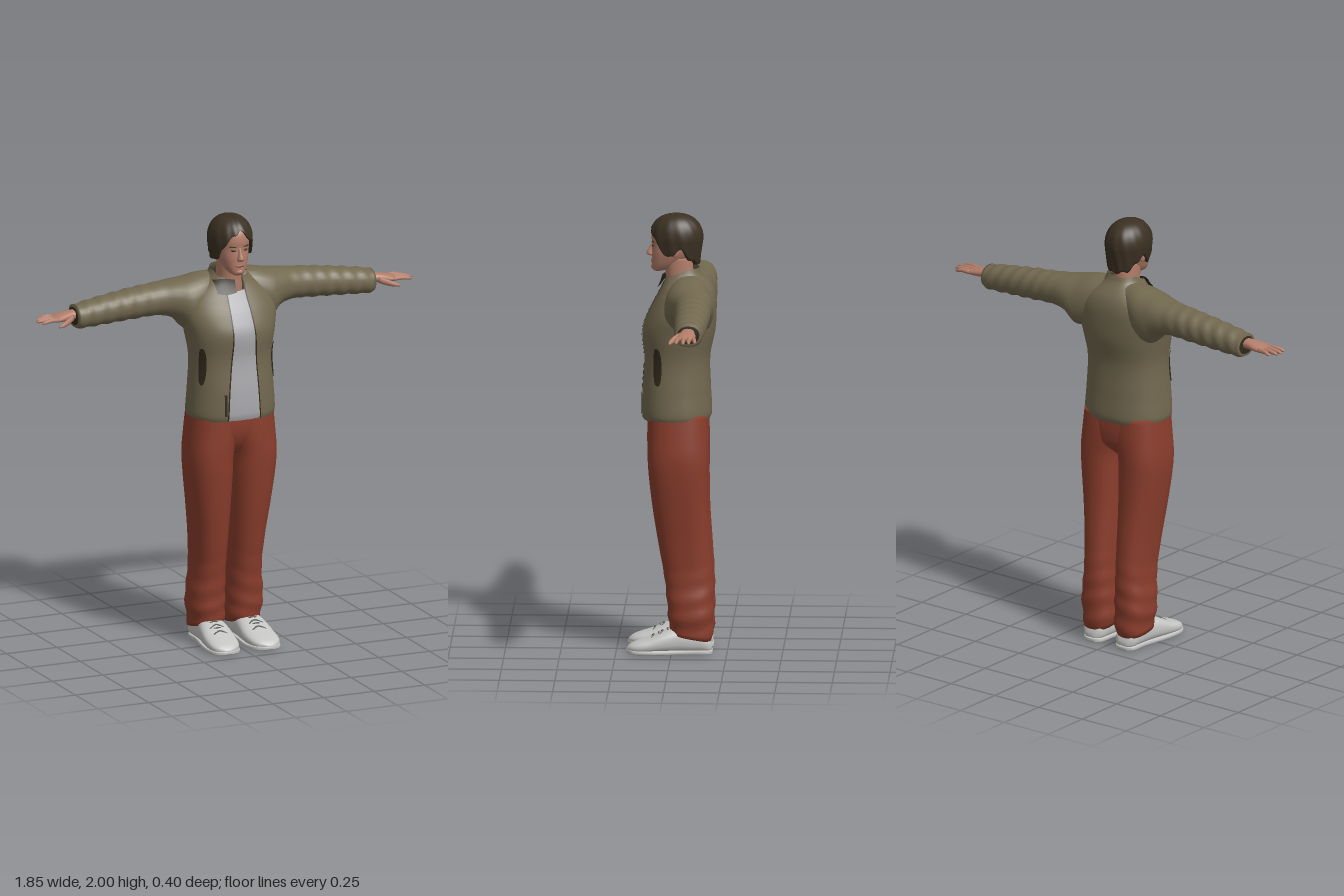
import * as THREE from 'three';

const mat = (name, color) => Object.assign(new THREE.MeshStandardMaterial({ color }), { name });
const { PI, sin, cos, abs, sign, pow, sqrt, asin, min, max } = Math;

// Smooth lookup in a table whose first column is an ascending key
function sample(table, k) {
  const n = table.length;
  let i = 0;
  while (i < n - 2 && k > table[i + 1][0]) i++;
  const a = table[i], b = table[i + 1], h = b[0] - a[0];
  const t = min(1, max(0, (k - a[0]) / h));
  const slope = (j, c) => {
    const p = table[max(0, j - 1)], q = table[min(n - 1, j + 1)];
    return (q[c] - p[c]) / (q[0] - p[0]);
  };
  const out = [];
  for (let c = 1; c < a.length; c++) {
    out.push((2 * t ** 3 - 3 * t * t + 1) * a[c] + (t ** 3 - 2 * t * t + t) * h * slope(i, c)
      + (3 * t * t - 2 * t ** 3) * b[c] + (t ** 3 - t * t) * h * slope(i + 1, c));
  }
  return out;
}

// Grid surface from f(u, v); faces are turned to point away from its centre
function surface(f, nu, nv, closed = false) {
  const pos = [], idx = [], cols = closed ? nv : nv + 1;
  for (let i = 0; i <= nu; i++) for (let j = 0; j < cols; j++) pos.push(...f(i / nu, j / nv));
  for (let i = 0; i < nu; i++) for (let j = 0; j < nv; j++) {
    const a = i * cols + j, b = i * cols + (j + 1) % cols, c = a + cols, d = b + cols;
    idx.push(a, b, c, b, d, c);
  }
  const P = (i) => new THREE.Vector3().fromArray(pos, i * 3);
  const mid = new THREE.Vector3();
  for (let i = 0; i < pos.length / 3; i++) mid.addScaledVector(P(i), 3 / pos.length);
  let outward = 0;
  for (let i = 0; i < idx.length; i += 3) {
    const a = P(idx[i]), b = P(idx[i + 1]), c = P(idx[i + 2]);
    outward += a.clone().sub(mid).dot(b.sub(a).cross(c.sub(a)));
  }
  if (outward < 0) idx.reverse();
  const g = new THREE.BufferGeometry();
  g.setAttribute('position', new THREE.Float32BufferAttribute(pos, 3));
  g.setIndex(idx);
  g.computeVertexNormals();
  return g;
}

const bend = (v, p) => sign(v) * pow(abs(v), 2 / p);

// Capped loft along an axis; rows are [key, min1, max1, min2, max2]
function loft(axis, rows, { side = 1, p = 2.2, nu = 24, nv = 24, warp } = {}) {
  const k0 = rows[0][0], k1 = rows[rows.length - 1][0];
  return surface((u, v) => {
    const i = Math.round(u * (nu + 2)) - 1, t = min(1, max(0, i / nu));
    const k = k0 + (k1 - k0) * t, [a0, a1, b0, b1] = sample(rows, k);
    const r = i < 0 || i > nu ? 0 : 1, w = v * 2 * PI;
    const a = (a0 + a1) / 2 + r * (a1 - a0) / 2 * bend(cos(w), p);
    const b = (b0 + b1) / 2 + r * (b1 - b0) / 2 * bend(sin(w), p);
    const q = axis === 'x' ? [k, a, b] : axis === 'y' ? [a, k, b] : [a, b, k];
    if (warp) warp(q, t, w);
    q[0] *= side;
    return q;
  }, nu + 2, nv, true);
}

// Torso outline: height, half width, back z, front z
const torso = [
  [1.07, .195, -.172, .133], [1.09, .204, -.18, .14], [1.2, .197, -.175, .139], [1.35, .19, -.172, .128],
  [1.47, .208, -.195, .136], [1.55, .222, -.2, .108], [1.62, .205, -.198, .072], [1.67, .16, -.183, .047],
  [1.7, .115, -.16, .036], [1.725, .088, -.135, .032], [1.76, .078, -.12, .037]];
function body(y, a, off = 0) {
  const [w, b, f] = sample(torso, y);
  return [(w + off) * bend(sin(a), 2.3), y, (b + f) / 2 + ((f - b) / 2 + off) * bend(cos(a), 2.3)];
}
const angleAt = (y, x) => {
  const w = sample(torso, y)[0];
  return sign(x) * asin(pow(min(1, abs(x) / w), 1.15));
};
// Jacket opening: height, right edge x, left edge x
const opening = [[1.07, -.076, .082], [1.2, -.07, .074], [1.4, -.052, .062], [1.55, -.05, .052],
  [1.66, -.048, .042], [1.76, -.042, .045]];

export function createModel() {
  const root = new THREE.Group();
  const skin = mat('skin', 0xb27d69), hair = mat('hair', 0x3b3022), jacket = mat('jacket', 0x72684f);
  const pants = mat('trousers', 0x8a3d2c), shoe = mat('shoes', 0xc4c4c2), shirt = mat('shirt', 0xa9a9ad);
  const dark = mat('darkTrim', 0x31291c), lips = mat('lips', 0x8f5548), lace = mat('laces', 0x6b6b69);
  for (const m of [hair, jacket, shirt, dark]) m.side = THREE.DoubleSide;
  const add = (name, geo, m, parent = root) => {
    const mesh = new THREE.Mesh(geo, m);
    mesh.name = name;
    parent.add(mesh);
    return mesh;
  };

  // Jacket body with open front and standing collar
  add('jacketBody', surface((u, v) => {
    const top = 1.755 - .035 * max(0, cos(v * 2 * PI));
    const y = 1.07 + (top - 1.07) * u, [r, l] = sample(opening, y);
    const a0 = angleAt(y, l), a1 = 2 * PI + angleAt(y, r);
    return body(y, a0 + (a1 - a0) * v);
  }, 48, 56), jacket);

  // Shirt panel and dark zip edges
  add('shirtFront', surface((u, v) => {
    const y = 1.072 + .593 * u - .012 * u * sin(v * PI), [r, l] = sample(opening, y);
    return body(y, angleAt(y, r - .03 + (l - r + .06) * v), -.01);
  }, 36, 16), shirt);
  for (const side of [0, 1]) add('zipEdge', surface((u, v) => {
    const y = 1.075 + .62 * u, x = sample(opening, y)[side];
    return body(y, angleAt(y, x + (v - .5) * .006), .002);
  }, 36, 1), dark);
  add('zipTab', surface((u, v) => {
    const y = 1.1 + .1 * u;
    return body(y, angleAt(y, -.092 + .012 * v), .003);
  }, 6, 2), dark);
  add('collarFlap', surface((u, v) => {
    const y = 1.655 + .055 * u + .012 * sin(v * PI) * (u - .5);
    return body(y, angleAt(y, -.088 + .083 * v), .014);
  }, 8, 10), dark);

  // Oval side pockets
  for (const s of [1, -1]) add('pocket', surface((u, v) => {
    const w = v * 2 * PI, y = 1.325 + .086 * u * bend(sin(w), 2.6);
    const q = body(y, 1.07 + .14 * u * bend(cos(w), 2.6) - (y - 1.325) * .35, .004);
    return [q[0] * s, q[1], q[2]];
  }, 6, 24, true), dark);

  // Sleeves, hands, trouser legs and shoes, mirrored
  for (const [side, word] of [[1, 'left'], [-1, 'right']]) {
    const arm = new THREE.Group(), leg = new THREE.Group();
    arm.name = word + 'Arm';
    leg.name = word + 'Leg';
    root.add(arm, leg);

    add('sleeve', loft('x', [
      [.06, 1.57, 1.73, -.15, -.01], [.13, 1.51, 1.727, -.182, .02], [.2, 1.475, 1.714, -.195, .028],
      [.25, 1.525, 1.705, -.195, .006], [.32, 1.546, 1.695, -.188, -.02], [.45, 1.543, 1.681, -.184, -.03],
      [.6, 1.535, 1.661, -.174, -.034], [.71, 1.53, 1.643, -.164, -.038], [.735, 1.536, 1.637, -.16, -.042]],
    { side, nu: 56, nv: 28, warp: (q, t, w) => {
      const n = .0025 * sin(t * 62 + 2 * cos(w)) * min(1, max(0, t * 4 - 1.2));
      q[1] += n * cos(w);
      q[2] += n * sin(w);
    } }), jacket, arm);
    add('cuff', loft('x', [[.73, 1.545, 1.63, -.152, -.05], [.738, 1.548, 1.626, -.15, -.053]],
      { side, nu: 2 }), dark, arm);

    add('palm', loft('x', [
      [.7, 1.573, 1.617, -.13, -.068], [.75, 1.574, 1.618, -.13, -.066], [.79, 1.573, 1.612, -.136, -.056],
      [.83, 1.575, 1.603, -.138, -.05], [.848, 1.581, 1.597, -.132, -.056]], { side, nu: 14, nv: 18 }), skin, arm);
    const digit = (name, rows) => add(name, loft('x',
      rows.map(([x, y, z, r]) => [x, y - r, y + r, z - r, z + r]), { side, nu: 10, nv: 10, p: 2 }), skin, arm);
    [[-.06, .914, -.052], [-.083, .925, -.083], [-.106, .918, -.108], [-.127, .898, -.135]].forEach(([z, tip, zt]) =>
      digit('finger', [[.825, 1.589, z, .0105], [.865, 1.591, (z + zt) / 2, .0098],
        [tip - .012, 1.586, zt, .0078], [tip, 1.584, zt, .003]]));
    digit('thumb', [[.755, 1.59, -.066, .014], [.79, 1.58, -.042, .014], [.82, 1.572, -.026, .0105], [.843, 1.567, -.019, .004]]);

    add('trouserLeg', loft('y', [
      [.075, .016, .163, -.18, .0], [.12, .01, .17, -.188, .011], [.2, .01, .177, -.19, .016],
      [.35, .014, .164, -.188, .032], [.5, .011, .172, -.178, .058], [.65, .007, .19, -.168, .082],
      [.8, .002, .208, -.165, .1], [.9, -.002, .214, -.166, .107], [1, -.03, .207, -.166, .109],
      [1.1, -.03, .197, -.16, .108]],
    { side, p: 2.35, nu: 56, nv: 32, warp: (q, t, w) => {
      const n = .004 * sin(t * 70 + 2 * sin(w + 1)) * max(0, 1 - t * 2.6);
      q[0] += n * cos(w);
      q[2] += n * sin(w);
      q[1] += (sin(w) * .02) * max(0, 1 - t * 8);
    } }), pants, leg);

    add('shoe', loft('z', [
      [-.182, .065, .12, .015, .045], [-.168, .042, .14, .006, .08], [-.1, .033, .147, .004, .11],
      [-.03, .028, .156, .004, .122], [.03, .022, .166, .004, .105], [.09, .022, .171, .004, .077],
      [.15, .032, .168, .004, .057], [.185, .055, .148, .008, .042], [.2, .085, .12, .014, .028]],
    { side, p: 2.5, nu: 30, nv: 28 }), shoe, leg);
    add('sole', loft('z', [
      [-.185, .06, .122, 0, .02], [-.165, .04, .142, 0, .022], [-.08, .034, .146, 0, .022],
      [.03, .022, .166, 0, .022], [.1, .018, .174, 0, .022], [.16, .032, .168, 0, .022],
      [.19, .056, .147, .002, .022], [.202, .085, .12, .005, .02]], { side, p: 5, nu: 24, nv: 28 }), shoe, leg);
    for (let i = 0; i < 4; i++) {
      const z = .018 + i * .02, y = .113 - i * .0095;
      const path = new THREE.CatmullRomCurve3([[.062, -.012, .012], [.095, .002, 0], [.13, -.012, .012]]
        .map(([x, dy, dz]) => new THREE.Vector3(x * side, y + dy, z + dz * (i % 2 ? 1 : -1))));
      add('lace', new THREE.TubeGeometry(path, 8, .0035, 5), lace, leg);
    }
  }

  // Hips joining the two legs
  add('hips', loft('y', [[.9, -.09, .09, -.1, .05], [.95, -.17, .17, -.152, .085],
    [1.0, -.198, .198, -.164, .104], [1.06, -.2, .2, -.165, .11], [1.12, -.19, .19, -.16, .108]],
  { p: 2.4, nv: 36 }), pants);

  // Neck and head
  const head = new THREE.Group();
  head.name = 'head';
  root.add(head);
  add('neck', loft('y', [[1.58, -.07, .07, -.13, .02], [1.66, -.062, .062, -.115, .026],
    [1.71, -.055, .055, -.1, .028], [1.8, -.055, .055, -.09, .04]]), skin, head);
  add('face', loft('y', [
    [1.738, -.018, .018, .045, .08], [1.746, -.033, .033, .01, .09], [1.765, -.047, .047, -.03, .092],
    [1.79, -.058, .058, -.06, .092], [1.82, -.067, .067, -.085, .092], [1.86, -.072, .072, -.105, .09],
    [1.9, -.074, .074, -.11, .093], [1.94, -.068, .068, -.1, .083], [1.97, -.045, .045, -.075, .05]],
  { nu: 36, nv: 36, p: 2.3 }), skin, head);
  add('nose', loft('y', [[1.806, -.012, .012, .07, .1], [1.813, -.017, .017, .07, .114], [1.822, -.014, .014, .07, .117],
    [1.842, -.009, .009, .07, .105], [1.868, -.007, .007, .07, .092]], { nu: 14, nv: 14, p: 2 }), skin, head);
  const blob = (name, m, x, y, z, sx, sy, sz, turn = 0) => {
    const b = add(name, new THREE.SphereGeometry(1, 16, 10), m, head);
    b.position.set(x, y, z);
    b.scale.set(sx, sy, sz);
    b.rotation.y = turn;
  };
  blob('mouth', lips, 0, 1.784, .09, .022, .006, .006);
  blob('chin', skin, 0, 1.756, .082, .02, .014, .013);
  for (const s of [1, -1]) {
    blob('eye', dark, s * .03, 1.857, .085, .012, .0045, .004, s * .25);
    blob('brow', hair, s * .032, 1.875, .085, .018, .004, .005, s * .25);
    blob('ear', skin, s * .076, 1.84, -.015, .01, .03, .018, s * .3);
  }

  // Hair: parted curtain at the front, down to the nape behind
  const hem = [[0, 1.955], [.25, 1.93], [.6, 1.895], [.9, 1.855], [1.2, 1.812], [1.42, 1.818],
    [1.7, 1.85], [2.0, 1.82], [2.4, 1.785], [PI, 1.77]];
  add('hair', surface((u, v) => {
    const a = (v - .5) * 2 * PI, t = min(1, u / .94);
    const low = sample(hem, abs(a))[0] + .006 * sin(a * 11);
    const y = 2 - (2 - low) * (1 - cos(t * PI / 2)) - .006 * t * max(0, 1 - abs(a) * 3);
    const h = max(0, (y - 1.885) / .115);
    let r = y > 1.885 ? pow(max(0, 1 - pow(h, 2.3)), 1 / 2.3) : 1 - (1.885 - y) * 1.1;
    r *= 1 + .018 * sin(a * 13 + y * 25) * t;
    if (u > .95) r *= .82;
    const back = cos(a) < 0 ? .12 : .122;
    return [.099 * r * sin(a), y - (abs(a) < .08 ? .003 * (1 - t) : 0), -.02 + back * r * cos(a)];
  }, 32, 96, true), hair, head);

  return root;
}
